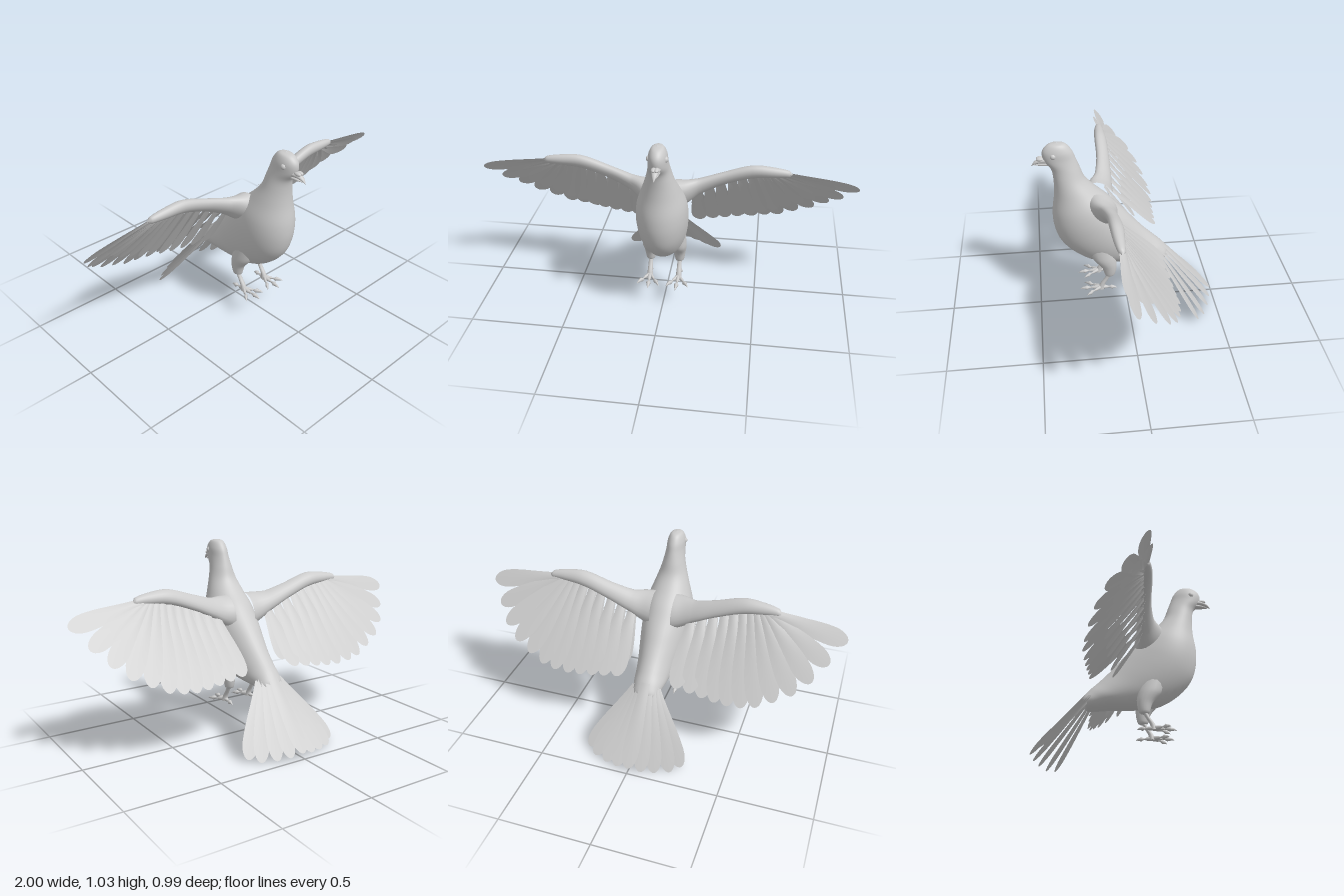
import * as THREE from 'three';

const V = (x, y, z) => new THREE.Vector3(x, y, z);
const skin = new THREE.MeshStandardMaterial({ color: 0xcccccc });
const vane = new THREE.MeshStandardMaterial({ color: 0xcccccc, side: THREE.DoubleSide });

function add(parent, name, geometry, material = skin) {
  const mesh = new THREE.Mesh(geometry, material);
  mesh.name = name;
  parent.add(mesh);
  return mesh;
}

// Smooth skin through elliptical sections { c: centre, a, b: half axes }
function loft(sections, sides = 24) {
  const last = sections.length - 1;
  const mid = sections[last >> 1];
  const travel = sections[last].c.clone().sub(sections[0].c);
  const turn = Math.sign(mid.a.clone().cross(mid.b).dot(travel));
  const pos = [], index = [];
  sections.forEach(({ c, a, b }, i) => {
    for (let j = 0; j < sides; j++) {
      const t = (j / sides) * Math.PI * 2;
      const p = c.clone().addScaledVector(a, Math.cos(t)).addScaledVector(b, turn * Math.sin(t));
      pos.push(p.x, p.y, p.z);
      if (i === last) continue;
      const k = i * sides, n = (j + 1) % sides;
      index.push(k + j, k + n, k + sides + j, k + n, k + sides + n, k + sides + j);
    }
  });
  const g = new THREE.BufferGeometry();
  g.setAttribute('position', new THREE.Float32BufferAttribute(pos, 3));
  g.setIndex(index);
  g.computeVertexNormals();
  return g;
}

// Limb through [x, y, z, radius along a, radius along b]
function limb(points, a, b, steps = 16, sides = 16) {
  const path = new THREE.CatmullRomCurve3(points.map(p => V(p[0], p[1], p[2])));
  const radii = new THREE.CatmullRomCurve3(points.map(p => V(p[3], p[4] ?? p[3], 0)));
  const sections = [];
  for (let i = 0; i <= steps; i++) {
    const r = radii.getPoint(i / steps);
    sections.push({
      c: path.getPoint(i / steps),
      a: a.clone().multiplyScalar(Math.max(r.x, 1e-4)),
      b: b.clone().multiplyScalar(Math.max(r.y, 1e-4)),
    });
  }
  return loft(sections, sides);
}

// Thin, slightly cupped feather with a rounded tip, lying square to normal
function feather(base, tip, halfWidth, normal, root = 0.45) {
  const g = new THREE.PlaneGeometry(1, 1, 4, 14);
  const p = g.attributes.position;
  const along = tip.clone().sub(base);
  const side = along.clone().cross(normal).normalize();
  for (let i = 0; i < p.count; i++) {
    const u = p.getX(i) * 2;
    const t = Math.sin((p.getY(i) + 0.5) * Math.PI / 2);
    let w = halfWidth * THREE.MathUtils.lerp(root, 1, THREE.MathUtils.smoothstep(t, 0, 0.75));
    if (t > 0.78) w *= Math.sqrt(Math.max(0, 1 - ((t - 0.78) / 0.22) ** 2));
    const q = base.clone().addScaledVector(along, t).addScaledVector(side, u * w)
      .addScaledVector(normal, 0.006 * (1 - u * u) * (1 - t));
    p.setXYZ(i, q.x, q.y, q.z);
  }
  g.computeVertexNormals();
  return g;
}

function makeBody() {
  // front z, front y, back z, back y, half width: crown down to rump
  const rows = [
    [0.36, 1.035, 0.358, 1.035, 0.001], [0.405, 1.025, 0.315, 1.028, 0.03],
    [0.434, 0.99, 0.283, 0.99, 0.046], [0.43, 0.94, 0.265, 0.945, 0.05],
    [0.395, 0.89, 0.245, 0.89, 0.058], [0.385, 0.83, 0.22, 0.825, 0.074],
    [0.386, 0.74, 0.165, 0.76, 0.1], [0.4, 0.63, 0.1, 0.7, 0.127],
    [0.395, 0.54, 0.05, 0.645, 0.135], [0.365, 0.45, 0, 0.59, 0.132],
    [0.29, 0.365, -0.05, 0.53, 0.122], [0.19, 0.305, -0.1, 0.475, 0.108],
    [0.07, 0.288, -0.15, 0.425, 0.095], [-0.08, 0.284, -0.195, 0.38, 0.08],
    [-0.19, 0.276, -0.225, 0.335, 0.055], [-0.213, 0.288, -0.222, 0.31, 0.001],
  ];
  const front = new THREE.CatmullRomCurve3(rows.map(r => V(r[4], r[1], r[0])));
  const back = new THREE.CatmullRomCurve3(rows.map(r => V(0, r[3], r[2])));
  const sections = [];
  for (let i = 0; i <= 75; i++) {
    const f = front.getPoint(i / 75), b = back.getPoint(i / 75), w = Math.max(f.x, 1e-4);
    f.x = 0;
    sections.push({
      c: f.clone().add(b).multiplyScalar(0.5),
      a: f.clone().sub(b).multiplyScalar(0.5),
      b: V(w, 0, 0),
    });
  }
  return loft(sections, 40);
}

function makeWing() {
  const wing = new THREE.Group();
  const down = V(0, -0.79, -0.61), normal = V(0, 0.61, -0.79);
  add(wing, 'wingArm', limb([
    [0.06, 0.66, 0.14, 0.1, 0.075], [0.115, 0.675, 0.132, 0.085, 0.058], [0.18, 0.7, 0.112, 0.062, 0.038],
    [0.3, 0.748, 0.1, 0.048, 0.03], [0.45, 0.797, 0.1, 0.043, 0.031],
    [0.56, 0.8, 0.1, 0.032, 0.026], [0.635, 0.795, 0.096, 0.02, 0.017], [0.655, 0.79, 0.092, 0, 0],
  ], down, normal, 35, 20));

  // root x, root y, tip x, tip y, tip z: wing tip inward
  const flights = [
    [0.6, 0.79, 1, 0.71, 0.07], [0.59, 0.79, 0.93, 0.61, -0.02], [0.57, 0.79, 0.86, 0.535, -0.1],
    [0.55, 0.79, 0.78, 0.47, -0.15], [0.52, 0.79, 0.69, 0.425, -0.18], [0.49, 0.79, 0.605, 0.385, -0.2],
    [0.45, 0.78, 0.53, 0.37, -0.21], [0.4, 0.765, 0.455, 0.36, -0.205], [0.35, 0.75, 0.385, 0.362, -0.2],
    [0.29, 0.73, 0.315, 0.37, -0.195], [0.23, 0.71, 0.245, 0.38, -0.19], [0.17, 0.685, 0.17, 0.39, -0.185],
  ];
  flights.forEach(([bx, by, tx, ty, tz], i) => {
    const base = V(bx, by, 0.085).addScaledVector(normal, -0.002 * i);
    const tip = V(tx, ty, tz);
    add(wing, 'flightFeather', feather(base, tip, 0.05, normal), vane);
    // Shorter feathers layered beneath, hanging further away near the body
    const k = i / 11;
    const low = base.clone().lerp(tip, 0.7 + 0.1 * k).addScaledVector(normal, -0.02 - 0.06 * k * k);
    add(wing, 'underwingFeather',
      feather(base.clone().addScaledVector(normal, -0.01), low, 0.042, normal, 0.6), vane);
  });
  return wing;
}

function makeLeg() {
  const leg = new THREE.Group();
  const X = V(1, 0, 0), Y = V(0, 1, 0), Z = V(0, 0, 1);
  add(leg, 'thigh', limb([
    [0.07, 0.42, 0.15, 0.045, 0.07], [0.077, 0.35, 0.133, 0.043, 0.064], [0.08, 0.29, 0.108, 0.033, 0.042],
    [0.08, 0.235, 0.105, 0.023, 0.027], [0.08, 0.222, 0.107, 0, 0],
  ], X, Z, 20));
  add(leg, 'shank', limb([
    [0.08, 0.25, 0.1, 0.015], [0.08, 0.21, 0.122, 0.012], [0.08, 0.17, 0.147, 0.014], [0.08, 0.14, 0.155, 0.018],
  ], X, Z, 12));
  for (const [x, z] of [[0.075, 0.275], [0.02, 0.245], [0.14, 0.24], [0.085, 0.065]]) {
    const at = (t, y, r) => [0.08 + (x - 0.08) * t, y, 0.155 + (z - 0.155) * t, r];
    add(leg, 'toe', limb(
      [at(0, 0.15, 0.014), at(0.4, 0.148, 0.009), at(0.75, 0.146, 0.009), at(0.9, 0.144, 0.005), at(1, 0.137, 0)],
      X, Y, 14, 10));
  }
  return leg;
}

function makeTail(parent) {
  const normal = V(0, 0.61, -0.79);
  const tips = [[0, 0.03, -0.49], [0.07, 0.016, -0.478], [0.14, 0.008, -0.455], [0.215, 0.004, -0.42], [0.265, 0.016, -0.375]];
  tips.forEach(([x, y, z], i) => {
    for (const s of i ? [1, -1] : [1]) {
      const base = V(s * i * 0.014, 0.385 - 0.012 * i, -0.185 + 0.004 * i);
      add(parent, 'tailFeather', feather(base, V(s * x, y, z), 0.046, normal, 0.6), vane);
    }
  });
}

export function createModel() {
  const bird = new THREE.Group();
  bird.name = 'bird';
  add(bird, 'body', makeBody());

  // Beak with a swollen cere above the upper half
  const X = V(1, 0, 0), Y = V(0, 1, 0);
  add(bird, 'upperBeak', limb([
    [0, 0.94, 0.41, 0.026, 0.018], [0, 0.938, 0.445, 0.019, 0.013], [0, 0.927, 0.475, 0.011, 0.009], [0, 0.908, 0.495, 0, 0],
  ], X, Y));
  add(bird, 'lowerBeak', limb([
    [0, 0.92, 0.405, 0.022, 0.012], [0, 0.918, 0.445, 0.015, 0.008], [0, 0.912, 0.482, 0, 0],
  ], X, Y));
  const ball = new THREE.SphereGeometry(1, 20, 14);
  for (const s of [1, -1]) {
    const cere = add(bird, 'cere', ball);
    cere.position.set(s * 0.008, 0.949, 0.446);
    cere.scale.set(0.012, 0.01, 0.021);
    const eye = add(bird, 'eye', ball);
    eye.position.set(s * 0.038, 0.976, 0.38);
    eye.scale.setScalar(0.016);
  }

  // Paired limbs, mirrored across x = 0
  for (const [part, make] of [['Wing', makeWing], ['Leg', makeLeg]]) {
    for (const s of [1, -1]) {
      const half = make();
      half.name = (s > 0 ? 'left' : 'right') + part;
      half.scale.x = s;
      bird.add(half);
    }
  }
  makeTail(bird);
  return bird;
}
